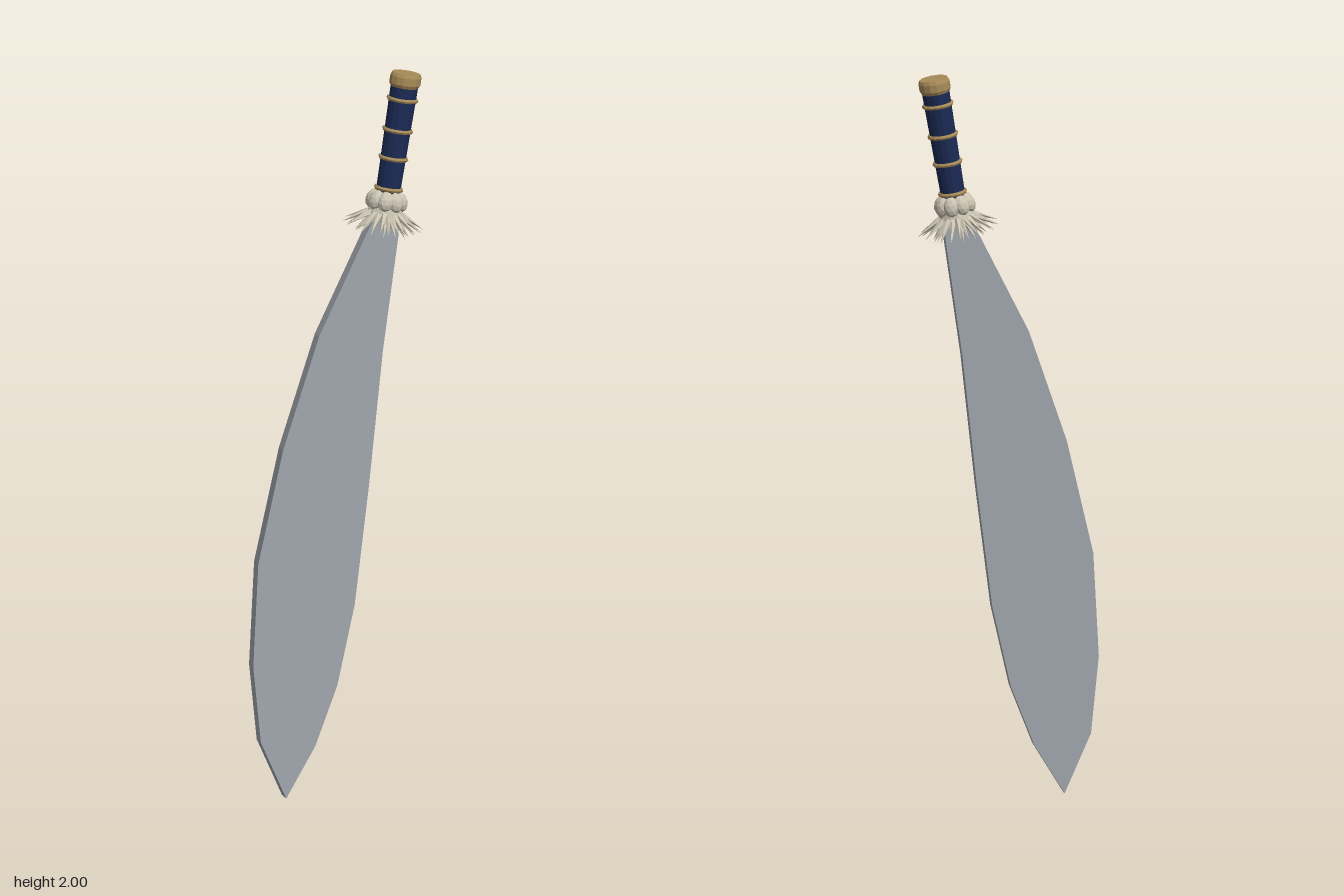
import * as THREE from 'three';

const material = (name, color) => {
  const m = new THREE.MeshStandardMaterial({ color, flatShading: true });
  m.name = name;
  return m;
};

export function createModel() {
  const steel = material('steel', 0xa0a5ad);
  const gold = material('gold', 0xa78b58);
  const navy = material('navy wrap', 0x1b2a55);
  const bone = material('bone', 0xcac3b1);

  const model = new THREE.Group();
  model.name = 'sword';
  const add = (parent, name, geometry, mat) => {
    const mesh = new THREE.Mesh(geometry, mat);
    mesh.name = name;
    parent.add(mesh);
    return mesh;
  };

  // Blade: flat slab with a broad leaf outline, leaning slightly in z
  const outline = [
    [0.12, 1.65], [0.095, 1.585], [-0.058, 1.284], [-0.164, 0.976], [-0.238, 0.663],
    [-0.254, 0.377], [-0.233, 0.164], [-0.16, 0], [-0.075, 0.138], [-0.01, 0.302],
    [0.042, 0.525], [0.085, 0.854], [0.127, 1.225], [0.175, 1.55], [0.17, 1.65],
  ].map(([x, y]) => new THREE.Vector2(x, y));
  const thick = 0.038;
  const bladeGeo = new THREE.ExtrudeGeometry(new THREE.Shape(outline), { depth: thick, bevelEnabled: false });
  const p = bladeGeo.attributes.position;
  for (let i = 0; i < p.count; i++) {
    p.setZ(i, p.getZ(i) - thick / 2 + 0.033 - 0.067 * p.getX(i) - 0.016 * p.getY(i));
  }
  bladeGeo.computeVertexNormals();
  add(model, 'blade', bladeGeo, steel);

  // Hilt: built upright, then tilted along the grip axis
  const up = new THREE.Vector3(0, 1, 0);
  const hilt = new THREE.Group();
  hilt.name = 'hilt';
  hilt.position.set(0.15, 1.66, -0.005);
  hilt.quaternion.setFromUnitVectors(up, new THREE.Vector3(0.056, 0.327, -0.011).normalize());
  model.add(hilt);

  // Grip and its rings
  const grip = new THREE.CylinderGeometry(0.038, 0.033, 0.32, 14);
  grip.translate(0, 0.15, 0);
  add(hilt, 'grip', grip, navy);
  for (const y of [0.015, 0.1, 0.178, 0.264]) {
    const ring = new THREE.TorusGeometry(0.0345 + y * 0.014, 0.006, 6, 14);
    ring.rotateX(Math.PI / 2);
    add(hilt, 'gripRing', ring, gold).position.y = y;
  }

  // Pommel cap
  const cap = [[0, 0.298], [0.038, 0.298], [0.043, 0.307], [0.043, 0.328], [0.039, 0.337], [0, 0.337]];
  add(hilt, 'pommel', new THREE.LatheGeometry(cap.map(([r, y]) => new THREE.Vector2(r, y)), 14), gold);

  // Guard core and its ring of rounded lobes
  const core = new THREE.CylinderGeometry(0.034, 0.055, 0.065, 12);
  core.translate(0, -0.035, 0);
  add(hilt, 'guardCore', core, bone);
  for (let i = 0; i < 8; i++) {
    const a = (i + 0.5) * Math.PI / 4;
    const lobe = add(hilt, 'guardLobe', new THREE.IcosahedronGeometry(0.025, 1), bone);
    lobe.position.set(Math.cos(a) * 0.037, -0.017, Math.sin(a) * 0.037);
    lobe.rotation.set(0, -a, 0.4);
    lobe.scale.set(0.8, 1.15, 0.9);
  }

  // Drooping spikes in two rows around the guard
  const spike = (a, r0, y0, r1, y1, width) => {
    const from = new THREE.Vector3(Math.cos(a) * r0, y0, Math.sin(a) * r0);
    const to = new THREE.Vector3(Math.cos(a) * r1, y1, Math.sin(a) * r1);
    const dir = to.clone().sub(from);
    const geo = new THREE.ConeGeometry(width, dir.length(), 4);
    geo.translate(0, dir.length() / 2, 0);
    const mesh = add(hilt, 'guardSpike', geo, bone);
    mesh.position.copy(from);
    mesh.quaternion.setFromUnitVectors(up, dir.normalize());
  };
  const count = 26;
  for (let i = 0; i < count; i++) {
    const a = i / count * Math.PI * 2;
    const vary = [0, 0.012, 0.004, 0.018][i % 4];
    spike(a, 0.03, -0.045, 0.116 - vary, -0.09 - vary * 0.6, 0.011);
    if (i % 2) spike(a + 0.12, 0.03, -0.055, 0.075, -0.112, 0.011);
  }
  return model;
}
